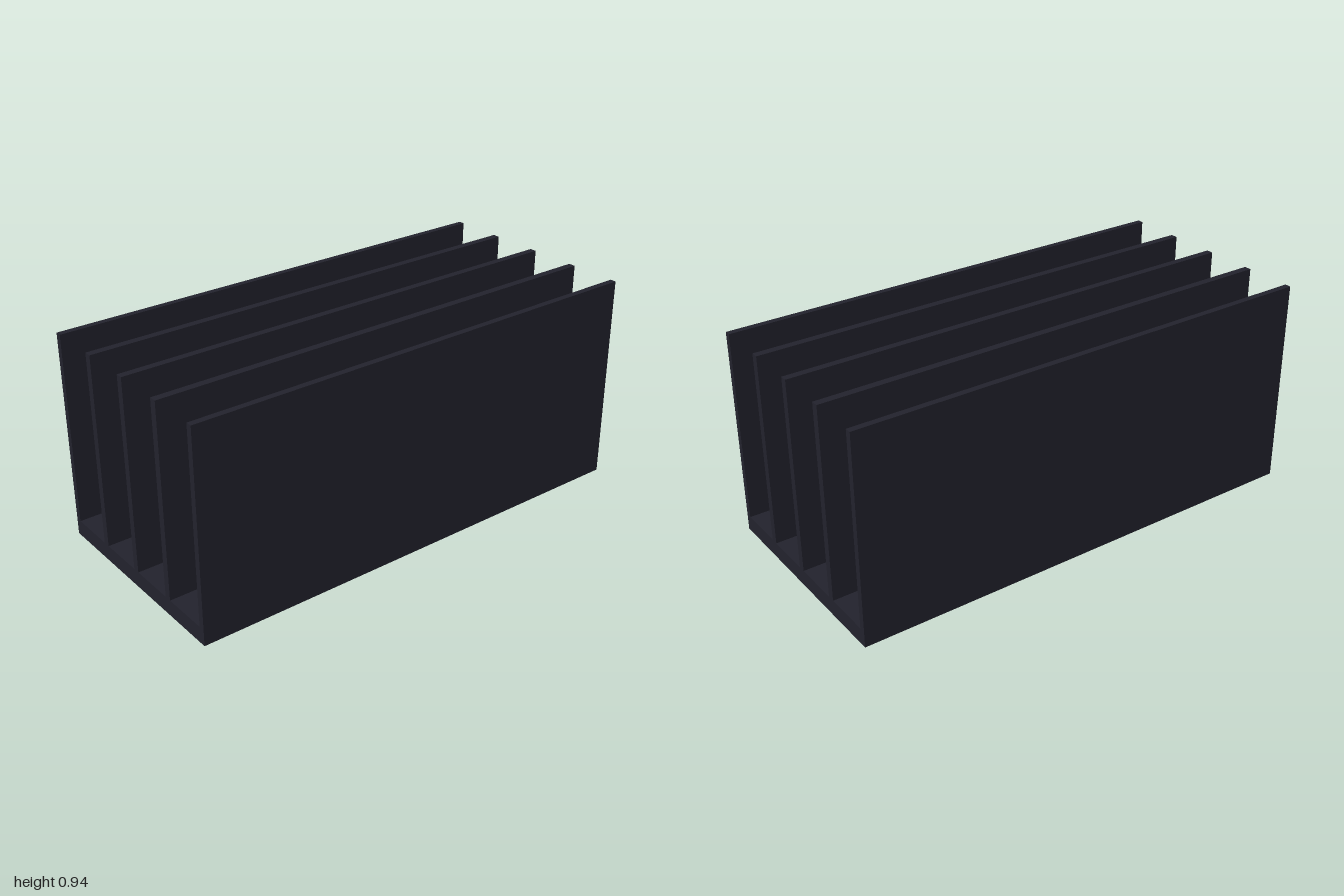
import * as THREE from 'three';

export function createModel() {
  const group = new THREE.Group();
  const anodized = new THREE.MeshStandardMaterial({ color: 0x22222c });
  anodized.name = 'darkAnodized';

  // Box given by its extents on each axis
  function box(name, [x0, x1], [y0, y1], [z0, z1]) {
    const mesh = new THREE.Mesh(new THREE.BoxGeometry(x1 - x0, y1 - y0, z1 - z0), anodized);
    mesh.position.set((x0 + x1) / 2, (y0 + y1) / 2, (z0 + z1) / 2);
    mesh.name = name;
    group.add(mesh);
  }

  const baseY = 0.067, baseTop = 0.135, top = 0.937, depth = 0.4625;

  // Base plate
  box('basePlate', [-1, 1], [baseY, baseTop], [-depth, depth]);

  // Five upright fins; the outer pair is flush with the base edges and slightly thinner
  const fins = [[-depth, -0.437], [-0.24, -0.21], [-0.014, 0.015], [0.21, 0.24], [0.437, depth]];
  fins.forEach((z, i) => box(`fin${i + 1}`, [-1, 1], [baseTop, top], z));

  // Two mounting feet under the base
  box('leftFoot', [0.345, 0.6], [0, baseY], [-0.128, 0.128]);
  box('rightFoot', [-0.6, -0.345], [0, baseY], [-0.128, 0.128]);

  // Thin contact pad between the feet
  box('contactPad', [-0.23, 0.23], [0.06, baseY], [-0.128, 0.128]);

  return group;
}
